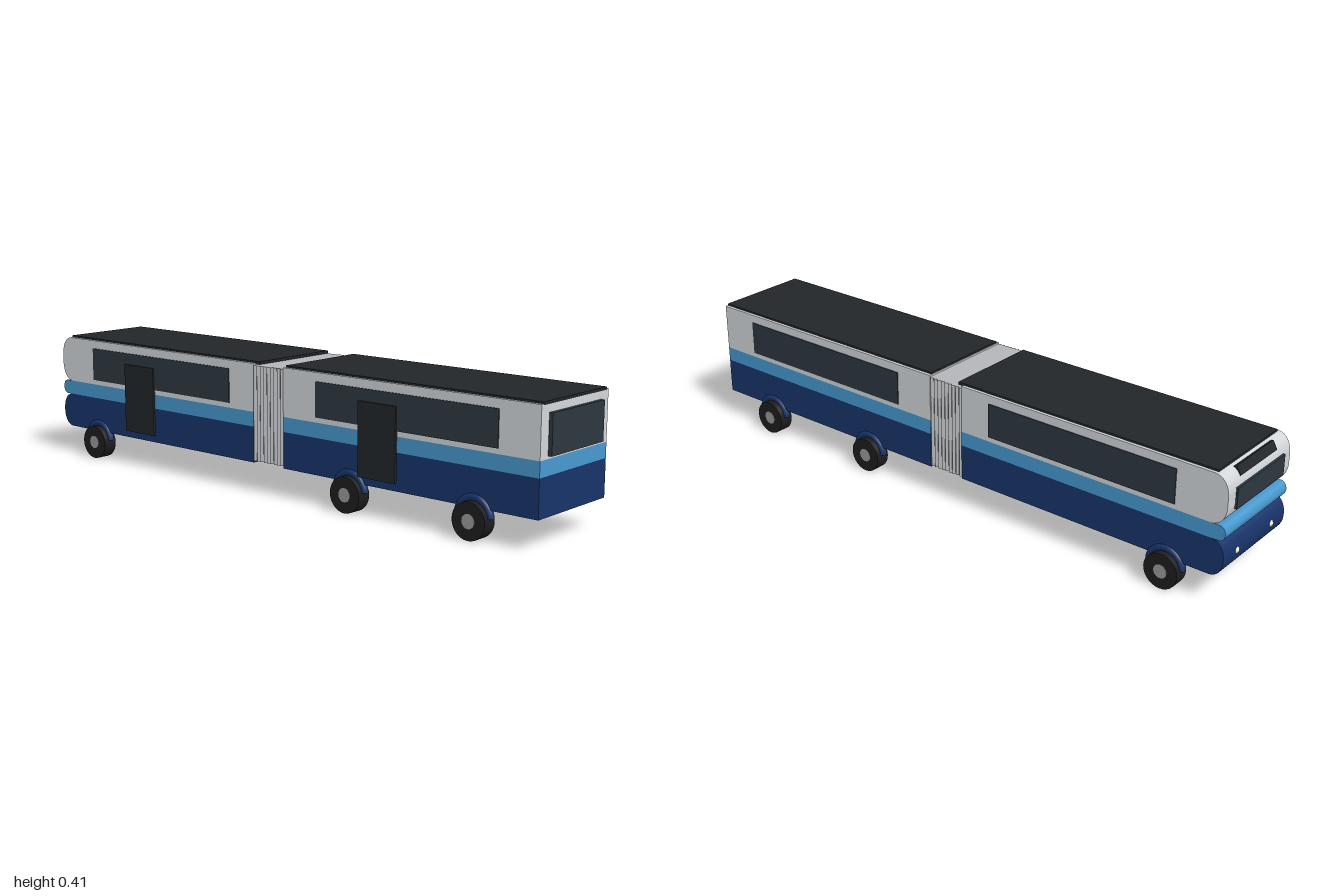
import * as THREE from 'three';

const mat = (color, side = THREE.FrontSide) => new THREE.MeshStandardMaterial({ color, side });
const M = {
  navy: mat(0x18346a), blue: mat(0x4899cf), white: mat(0xd3d7da), glass: mat(0x2e3740),
  black: mat(0x222629), tyre: mat(0x1d1d1d), hub: mat(0x999999), bellows: mat(0xb4b6b9), lamp: mat(0xf2f0dc),
};
const HALF = 0.17; // half width of the body

export function createModel() {
  const bus = new THREE.Group();
  bus.name = 'articulatedBus';

  const add = (name, geo, material, x = 0, y = 0, z = 0) => {
    const m = new THREE.Mesh(geo, material);
    m.name = name;
    m.position.set(x, y, z);
    bus.add(m);
    return m;
  };
  // Box given by its limits on each axis
  const box = (name, material, x0, x1, y0, y1, z0, z1) =>
    add(name, new THREE.BoxGeometry(x1 - x0, y1 - y0, z1 - z0), material,
      (x0 + x1) / 2, (y0 + y1) / 2, (z0 + z1) / 2);

  // Colour bands: [name, material, bottom, top, nose radius]
  const bands = [
    ['lowerBody', M.navy, 0.092, 0.207, 0.05],
    ['stripe', M.blue, 0.207, 0.254, 0.022],
    ['upperBody', M.white, 0.254, 0.407, 0.055],
  ];
  for (const [name, material, y0, y1, r] of bands) {
    // Front car: side profile with a rounded nose, extruded across the width
    const nose = -0.994, end = -0.064;
    const s = new THREE.Shape();
    s.moveTo(end, y0);
    s.lineTo(end, y1);
    s.lineTo(nose + r * 0.8, y1);
    s.quadraticCurveTo(nose + r * 0.1, y1 - r * 0.1, nose, y1 - r);
    s.lineTo(nose, y0 + r);
    s.quadraticCurveTo(nose + r * 0.1, y0 + r * 0.1, nose + r * 0.8, y0);
    s.closePath();
    const geo = new THREE.ExtrudeGeometry(s, { depth: HALF * 2, bevelEnabled: false, curveSegments: 10 });
    add(name + 'Front', geo, material, 0, 0, -HALF);
    // Rear car
    box(name + 'Rear', material, 0.062, 0.988, y0, y1, -HALF, HALF);
  }

  // Roof panels
  box('roofFront', M.black, -0.953, -0.045, 0.404, 0.413, -0.16, 0.16);
  box('roofRear', M.black, 0.064, 0.988, 0.404, 0.413, -0.16, 0.16);

  // Bellows: zigzag plan, extruded upwards
  const folds = 18, b0 = -0.066, b1 = 0.062;
  const plan = new THREE.Shape();
  for (const side of [1, -1]) {
    for (let i = 0; i <= folds; i++) {
      const t = side > 0 ? i / folds : 1 - i / folds;
      const x = b0 + (b1 - b0) * t;
      const z = side * (i % 2 ? 0.175 : 0.168);
      if (side > 0 && i === 0) plan.moveTo(x, z);
      else plan.lineTo(x, z);
    }
  }
  plan.closePath();
  const bellowsGeo = new THREE.ExtrudeGeometry(plan, { depth: 0.303, bevelEnabled: false });
  bellowsGeo.rotateX(-Math.PI / 2);
  add('bellows', bellowsGeo, M.bellows, 0, 0.099, 0);

  // Side windows on both sides
  for (const side of [1, -1]) {
    for (const x0 of [-0.83, 0.195]) {
      const w = box('sideWindow', M.glass, x0, x0 + 0.66, 0.27, 0.38, -0.005, 0.005);
      w.position.z = side * 0.168;
    }
  }

  // Doors on one side only
  for (const x0 of [-0.66, 0.365]) box('door', M.black, x0, x0 + 0.14, 0.115, 0.343, 0.165, 0.178);

  // Rear window, windscreen, roof-edge sign and headlights
  box('rearWindow', M.glass, 0.98, 1.0, 0.262, 0.381, -0.132, 0.132);
  box('windscreen', M.glass, -1.0, -0.98, 0.295, 0.36, -0.13, 0.13);
  const sign = box('destinationSign', M.black, -0.982, -0.966, 0.377, 0.407, -0.1, 0.1);
  sign.rotation.z = -0.5;
  for (const z of [-0.095, 0.095]) {
    add('headlight', new THREE.SphereGeometry(0.012, 16, 12), M.lamp, -0.988, 0.15, z);
  }

  // Wheels, hubs and wheel arches
  const tyreGeo = new THREE.CylinderGeometry(0.056, 0.056, 0.048, 28).rotateX(Math.PI / 2);
  const hubGeo = new THREE.CylinderGeometry(0.022, 0.022, 0.05, 20).rotateX(Math.PI / 2);
  const archGeo = new THREE.TorusGeometry(0.054, 0.012, 10, 24, Math.PI);
  for (const x of [-0.81, 0.328, 0.776]) {
    for (const side of [1, -1]) {
      add('tyre', tyreGeo, M.tyre, x, 0.056, side * 0.169);
      add('hub', hubGeo, M.hub, x, 0.056, side * 0.169);
      add('wheelArch', archGeo, M.navy, x, 0.067, side * 0.165);
    }
  }
  return bus;
}
